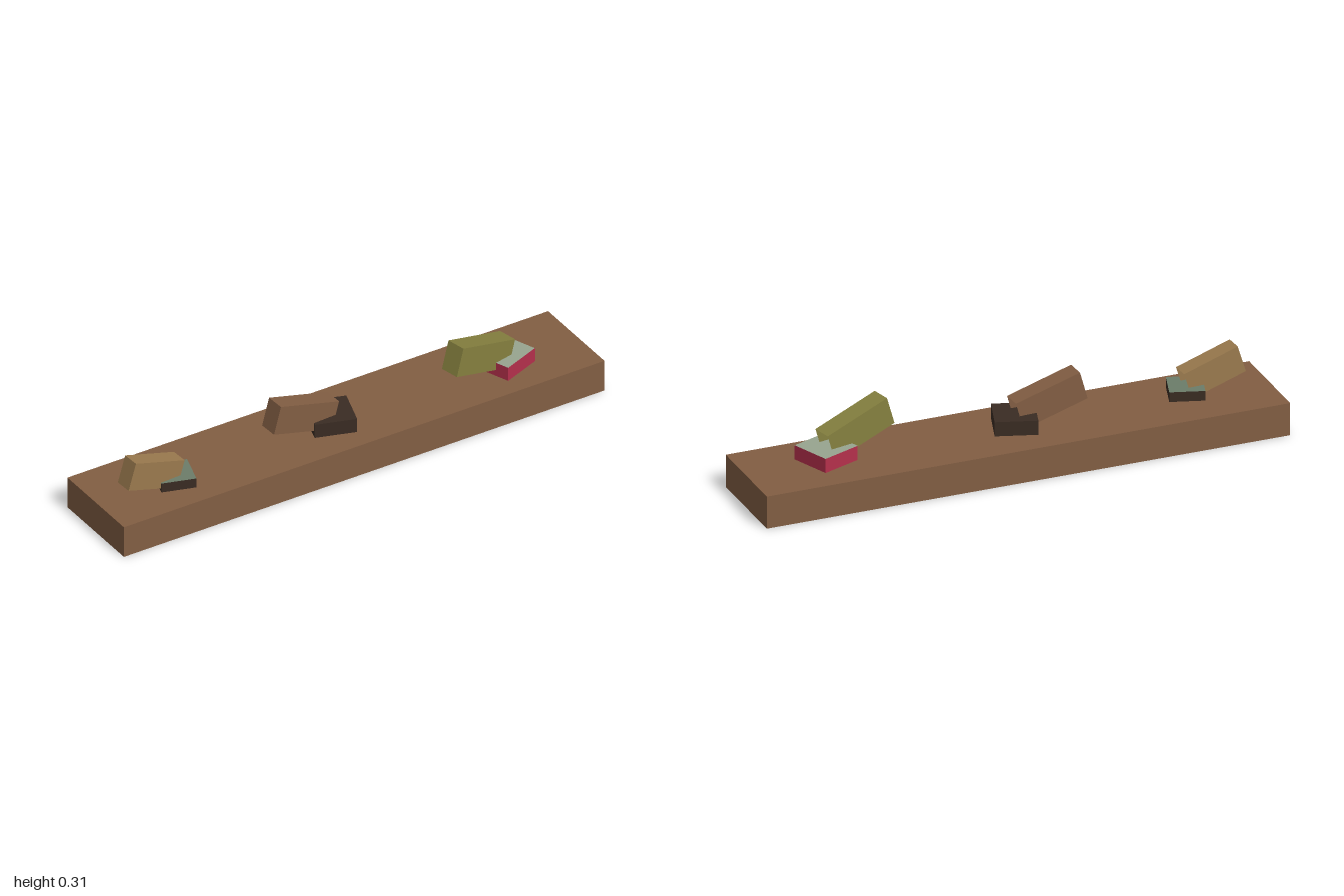
import * as THREE from 'three';

const mat = (name, color) => {
  const m = new THREE.MeshStandardMaterial({ color, side: THREE.DoubleSide });
  m.name = name;
  return m;
};

// Thin-walled box with one face left out (faces: 0 +x, 1 -x, 2 +y, 3 -y, 4 +z, 5 -z).
// Material 0 covers the sides, material 1 the top.
function openBox(w, h, d, missing) {
  const g = new THREE.BoxGeometry(w, h, d);
  const all = Array.from(g.index.array);
  const index = [];
  g.clearGroups();
  for (let f = 0; f < 6; f++) {
    if (f === missing) continue;
    g.addGroup(index.length, 6, f === 2 ? 1 : 0);
    index.push(...all.slice(f * 6, f * 6 + 6));
  }
  g.setIndex(index);
  return g;
}

export function createModel() {
  const model = new THREE.Group();
  model.name = 'leverBoard';

  const brown = mat('brown', 0x825e43);
  const dark = mat('darkBrown', 0x3a2c23);
  const tan = mat('tan', 0x9a7a4e);
  const olive = mat('olive', 0x85803f);
  const red = mat('red', 0xb5304c);
  const sage = mat('sage', 0x6c7d69);
  const pale = mat('paleSage', 0x98a48f);

  const add = (name, geometry, side, top = side) => {
    const mesh = new THREE.Mesh(geometry, [side, top]);
    mesh.name = name;
    model.add(mesh);
    return mesh;
  };

  // Board, hollow and open underneath
  const baseTop = 0.125;
  add('board', openBox(2, baseTop, 0.375, 3), brown).position.y = baseTop / 2;

  // Square blocks sunk halfway into the board, each with a sloping arm open at its low end
  const units = [
    { name: 'right', block: { x: -0.69, z: 0.027, size: 0.128, rise: 0.0375, turn: -0.3, side: dark, top: sage },
      arm: { at: [-0.878, 0.284, 0.037], len: 0.22, h: 0.107, w: 0.066, yaw: 0.055, pitch: 0.3, color: tan } },
    { name: 'middle', block: { x: -0.03, z: 0.011, size: 0.155, rise: 0.055, turn: -0.31, side: dark, top: dark },
      arm: { at: [-0.267, 0.302, 0.021], len: 0.26, h: 0.11, w: 0.073, yaw: 0.05, pitch: 0.275, color: brown } },
    { name: 'left', block: { x: 0.689, z: 0.0135, size: 0.157, rise: 0.055, turn: 0.37, side: red, top: pale },
      arm: { at: [0.459, 0.315, 0.064], len: 0.268, h: 0.11, w: 0.075, yaw: 0.22, pitch: 0.3, color: olive } },
  ];

  for (const { name, block: b, arm: a } of units) {
    const block = add(name + 'Block', openBox(b.size, b.rise * 2, b.size, 3), b.side, b.top);
    block.position.set(b.x, baseTop, b.z);
    block.rotation.y = b.turn;

    // Arm pivots from the top edge of its raised end
    const geometry = openBox(a.len, a.h, a.w, 0).translate(a.len / 2, -a.h / 2, 0);
    const arm = add(name + 'Arm', geometry, a.color);
    arm.position.set(...a.at);
    arm.rotation.set(0, a.yaw, -a.pitch, 'YZX');
  }
  return model;
}
